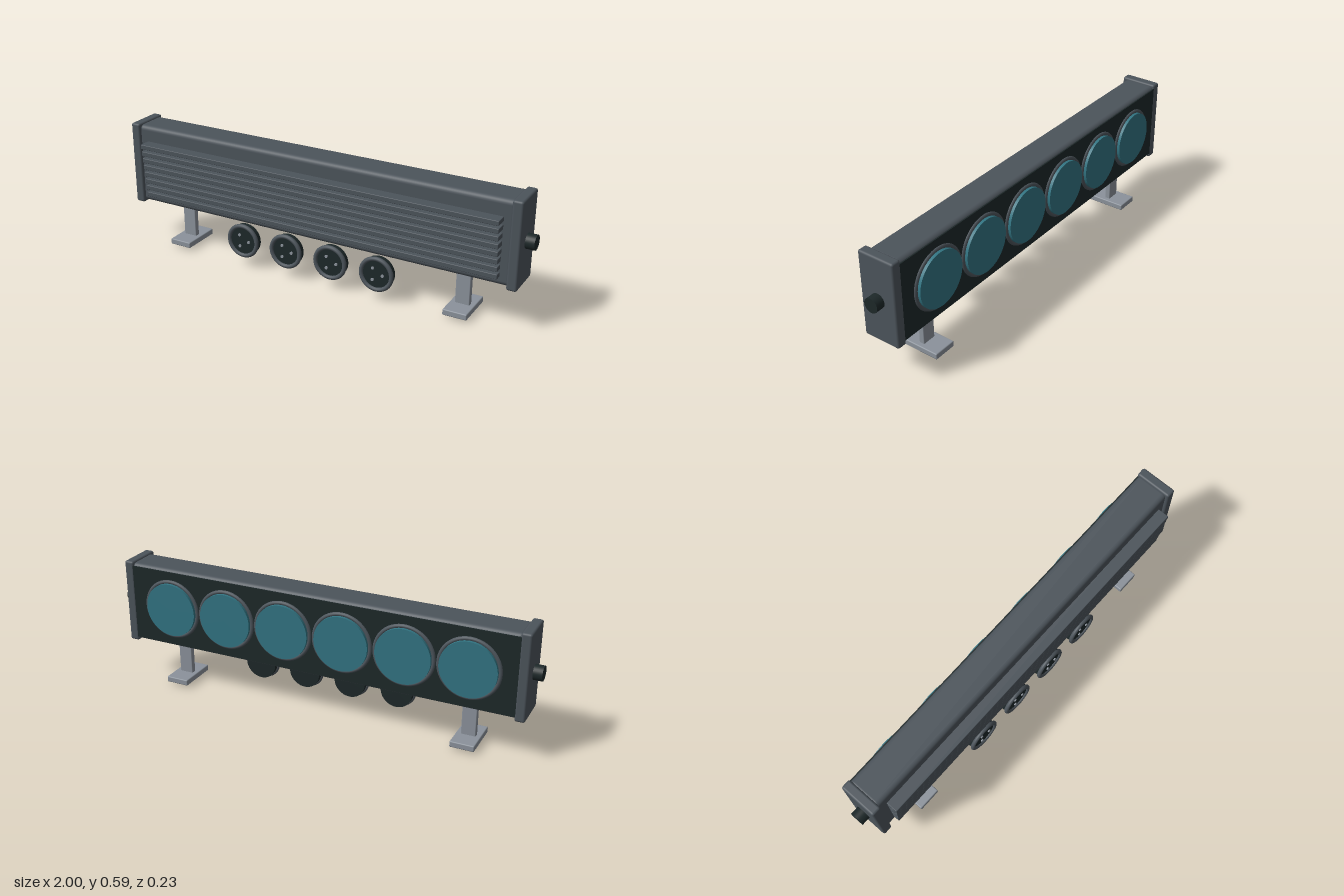
import * as THREE from 'three';
import { RoundedBoxGeometry } from 'three/addons/geometries/RoundedBoxGeometry.js';

const mat = (name, color) => {
  const m = new THREE.MeshStandardMaterial({ color });
  m.name = name;
  return m;
};

export function createModel() {
  const group = new THREE.Group();
  const casing = mat('casing grey', 0x4c545b);
  const dark = mat('dark plastic', 0x1d2829);
  const steel = mat('light steel', 0x8b929b);
  const glass = mat('teal glass', 0x327482);

  const add = (name, geo, material, x, y, z) => {
    const mesh = new THREE.Mesh(geo, material);
    mesh.name = name;
    mesh.position.set(x, y, z);
    group.add(mesh);
    return mesh;
  };
  const rounded = (w, h, d, r) => new RoundedBoxGeometry(w, h, d, 3, r);
  // cylinder whose axis runs along z
  const disc = (r, depth, seg = 48) => new THREE.CylinderGeometry(r, r, depth, seg).rotateX(Math.PI / 2);

  const midY = 0.39;

  // long housing and its dark back panel
  add('housing', rounded(1.86, 0.38, 0.156, 0.022), casing, 0, midY, -0.015);
  add('backPanel', new THREE.BoxGeometry(1.84, 0.356, 0.008), dark, 0, midY, -0.092);

  // cooling fins, deeper towards the top
  for (let i = 0; i < 8; i++) {
    const front = 0.093 + i * 0.00343, back = 0.05;
    add('coolingFin', rounded(1.76, 0.022, front - back, 0.003), casing, 0, 0.25 + i * 0.035, (front + back) / 2);
  }

  // lenses with their rims
  for (let i = 0; i < 6; i++) {
    const x = (i - 2.5) * 0.285;
    add('lensRim', new THREE.TorusGeometry(0.132, 0.01, 12, 64), casing, x, midY, -0.094);
    add('lens', disc(0.126, 0.03, 64), glass, x, midY, -0.1);
  }

  for (const side of [-1, 1]) {
    // end cap and side knob
    add('endCap', rounded(0.046, 0.395, 0.175, 0.01), casing, side * 0.937, midY, -0.0105);
    const knob = new THREE.CylinderGeometry(0.033, 0.033, 0.05, 32).rotateZ(Math.PI / 2);
    add('sideKnob', knob, dark, side * 0.975, midY, -0.01);
    // leg and foot
    add('legPost', rounded(0.066, 0.22, 0.026, 0.004), steel, side * 0.705, 0.11, -0.01);
    add('foot', rounded(0.11, 0.028, 0.193, 0.005), steel, side * 0.705, 0.026, -0.0105);
  }

  // sockets hanging under the housing
  for (let i = 0; i < 4; i++) {
    const x = (i - 1.5) * 0.227, y = 0.127;
    add('socketBody', disc(0.0745, 0.034), dark, x, y, 0.074);
    add('socketRim', new THREE.TorusGeometry(0.0725, 0.01, 12, 48), casing, x, y, 0.09);
    for (let k = 0; k < 3; k++) {
      const a = (k * Math.PI * 2) / 3;
      add('socketPin', disc(0.007, 0.008, 12), steel, x + Math.cos(a) * 0.032, y + Math.sin(a) * 0.032, 0.093);
    }
  }
  return group;
}
